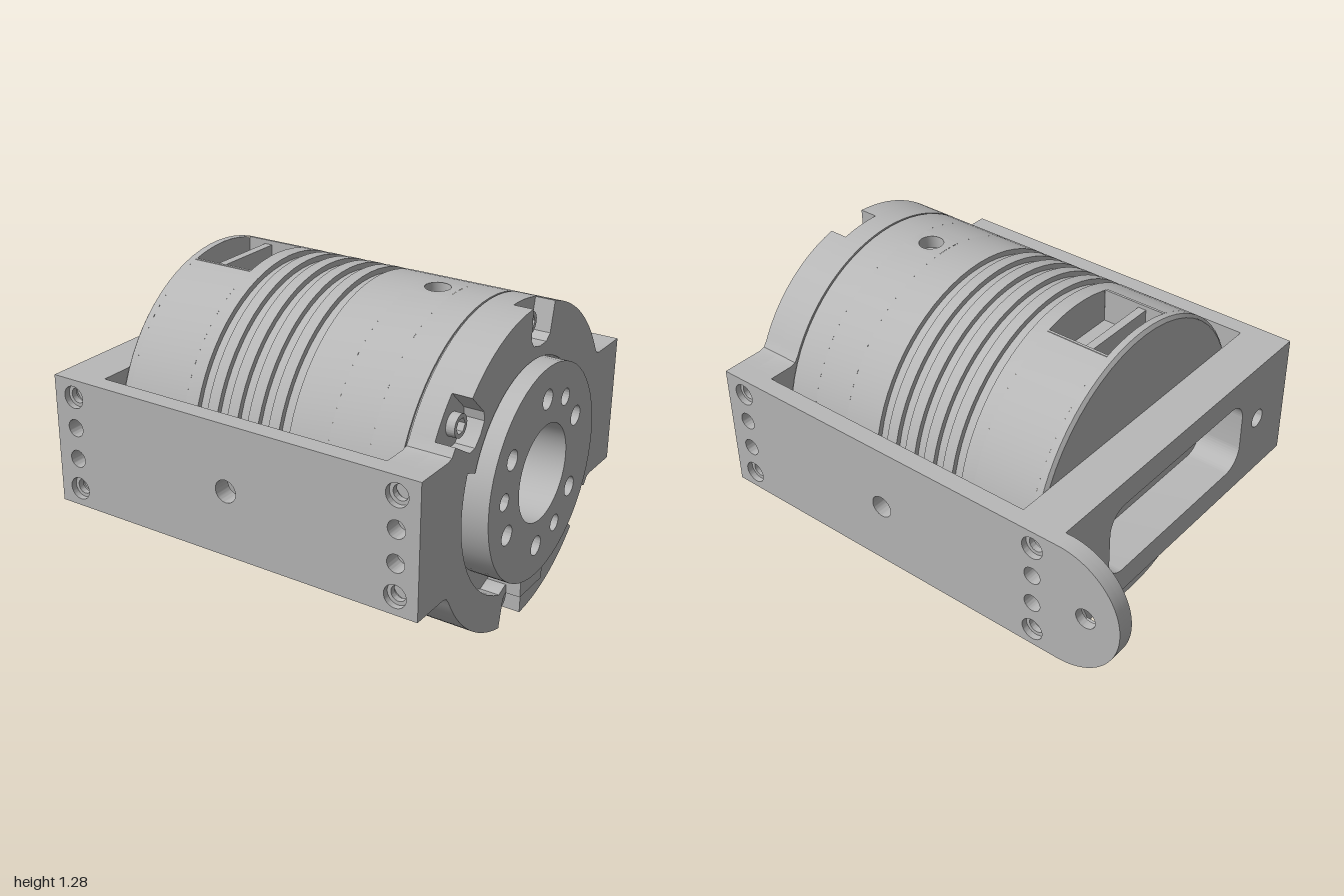
import * as THREE from 'three';
import { toCreasedNormals } from 'three/addons/utils/BufferGeometryUtils.js';

const R = 0.642, CY = 0.643, HALF = 0.27, TOP = -Math.PI / 2, DEG = Math.PI / 180;
const metal = new THREE.MeshStandardMaterial({ color: 0xb8b8b8 });
metal.name = 'brushed grey metal';

const polar = (r, deg) => new THREE.Vector2(r * Math.cos(deg * DEG), r * Math.sin(deg * DEG));
const shapeOf = pts => new THREE.Shape(pts.map(p => (p.isVector2 ? p : new THREE.Vector2(...p))));

function hole(shape, u, v, r) {
  shape.holes.push(new THREE.Path().absarc(u, v, r, 0, Math.PI * 2, true));
  return shape;
}
const disc = r => new THREE.Shape().absarc(0, 0, r, 0, Math.PI * 2, false);

function extrude(shape, depth) {
  const g = new THREE.ExtrudeGeometry(shape, { depth, bevelEnabled: false, curveSegments: 28 });
  return toCreasedNormals(g, 0.6);
}

export function createModel() {
  const model = new THREE.Group();
  model.name = 'motorUnit';
  const core = new THREE.Group(); // everything is measured from the motor axis
  core.name = 'assembly';
  core.position.y = CY;
  model.add(core);

  const add = (name, geo) => {
    const m = new THREE.Mesh(geo, metal);
    m.name = name;
    core.add(m);
    return m;
  };
  // Cross-section (u = -z, v = y) swept along x
  const sweepX = (name, shape, x0, x1) =>
    add(name, extrude(shape, x1 - x0).rotateY(Math.PI / 2).translate(x0, 0, 0));
  // Face outline (x, y) swept along z
  const sweepZ = (name, shape, z0, z1) => add(name, extrude(shape, z1 - z0).translate(0, 0, z0));
  // Profile of [radius, x] turned about the motor axis
  const turn = (name, pts, start = 0, len = Math.PI * 2, seg = 72) => {
    const g = new THREE.LatheGeometry(pts.map(p => new THREE.Vector2(...p)), seg, start, len);
    return add(name, toCreasedNormals(g.rotateZ(-Math.PI / 2), 0.5));
  };
  const box = (name, w, h, d, x, y, z) => add(name, new THREE.BoxGeometry(w, h, d).translate(x, y, z));

  // Motor housing: rear lip, window band, cooling grooves, drilled band, front band
  turn('rearLip', [[0.628, -0.52], [R, -0.508], [R, -0.48]]);
  const winA = Math.asin(0.176 / R);
  turn('windowBand', [[R, -0.48], [R, -0.21]], TOP + winA, Math.PI * 2 - 2 * winA);
  const fins = [[R, -0.21]];
  for (let i = 0; i < 5; i++) {
    const a = -0.15 + i * 0.094, b = a + 0.046;
    fins.push([R, a], [R - 0.022, a], [R - 0.022, b], [R, b]);
  }
  fins.push([R, 0.44]);
  turn('finnedBand', fins);
  const gap = 0.1;
  for (const s of [TOP, -TOP])
    turn('drilledBand', [[R, 0.44], [R, 0.61]], s + gap, Math.PI - 2 * gap, 36);
  turn('frontBand', [[R, 0.61], [R, 0.742], [R - 0.008, 0.742], [R - 0.008, 0.75]]);

  // Rear end cap with its pinhole
  sweepX('rearCap', hole(disc(0.628), -0.115, 0.075, 0.015), -0.52, -0.5);
  sweepX('rearCapBacking', disc(0.6), -0.5, -0.49);

  // Curved patches with a counterbored cross hole, top and bottom
  for (const turnOver of [0, Math.PI]) {
    const w = gap * R, pts = [];
    for (let i = 0; i <= 6; i++) pts.push([0.61, w * (i / 3 - 1)]);
    for (let i = 6; i >= 0; i--) pts.push([0.44, w * (i / 3 - 1)]);
    const g = new THREE.ShapeGeometry(hole(shapeOf(pts), 0.525, 0, 0.05), 24);
    const p = g.attributes.position;
    for (let i = 0; i < p.count; i++) {
      const a = p.getY(i) / R;
      p.setXYZ(i, p.getX(i), R * Math.cos(a), -R * Math.sin(a));
    }
    g.computeVertexNormals();
    add('holePatch', g.rotateX(turnOver));
    const bore = [[0.05, R], [0.05, 0.59], [0.03, 0.59], [0.03, 0]].map(q => new THREE.Vector2(...q));
    const wall = new THREE.LatheGeometry(bore, 24);
    add('crossHole', toCreasedNormals(wall.translate(0.525, 0, 0).rotateX(turnOver), 0.5));
  }

  // Sunken window on top of the housing
  const end = [[0.176, 0.47]];
  for (let i = 0; i <= 10; i++) {
    const a = winA * (1 - i / 5);
    end.push([(R - 0.002) * Math.sin(a), (R - 0.002) * Math.cos(a)]);
  }
  end.push([-0.176, 0.47]);
  sweepX('windowRearWall', shapeOf(end), -0.49, -0.48);
  sweepX('windowFrontWall', shapeOf(end), -0.21, -0.2);
  for (const s of [-1, 1]) box('windowSideWall', 0.27, 0.147, 0.01, -0.345, 0.543, s * 0.181);
  box('windowFloor', 0.27, 0.01, 0.36, -0.345, 0.475, 0);
  box('windowDivider', 0.035, 0.13, 0.352, -0.383, 0.535, 0);

  // Front flange: round body with side wings; the front layer has screw notches
  const screwAngles = [83.8, 143.3];
  function flangeShape(notched) {
    const half = [[0.715, -HALF], [0.715, HALF], [0.61, HALF], [0.585, 0.277]].map(p => new THREE.Vector2(...p));
    for (let d = 28; d <= 152; d += 2) {
      const a = screwAngles.find(s => Math.abs(d - s) < 8);
      if (!notched || a === undefined) { half.push(polar(R, d)); continue; }
      if (d - a > -6) continue;
      for (const [r, o] of [[R, -8], [0.52, -8.5], [0.49, -6], [0.48, 0], [0.49, 6], [0.52, 8.5], [R, 8]])
        half.push(polar(r, a + o));
    }
    half.push(new THREE.Vector2(-0.585, 0.277), new THREE.Vector2(-0.61, HALF));
    return shapeOf([...half, ...half.map(p => p.clone().negate())]);
  }
  sweepX('flangeBase', hole(flangeShape(false), 0, 0, 0.195), 0.75, 0.85);
  const face = flangeShape(true), recess = [];
  for (let d = 20; d <= 160; d += 5) recess.push(polar(0.437, d));
  for (let d = 160; d <= 380; d += 5) {
    const nearScrew = [263.8, 323.3].some(s => Math.abs(d - s) < 10);
    recess.push(polar(nearScrew ? 0.465 : 0.497, d));
  }
  face.holes.push(shapeOf(recess));
  sweepX('flangeFace', face, 0.85, 0.93);

  // Socket screws in the notches
  for (const a of screwAngles) for (const flip of [0, 180]) {
    const c = polar(0.558, a + flip);
    const s = new THREE.Shape().absarc(c.x, c.y, 0.045, 0, Math.PI * 2, false);
    const hex = [0, 1, 2, 3, 4, 5].map(i => polar(0.031, i * 60).add(c));
    s.holes.push(shapeOf(hex));
    sweepX('flangeScrew', s, 0.85, 0.885);
  }

  // Output ring with bolt circle, locating tab and central bore
  const ring = hole(disc(0.43), 0, 0, 0.195);
  for (const [u, v, r] of [[0, 0.3, 0.04], [0.155, 0.255, 0.034], [0.26, 0.14, 0.04],
    [-0.265, 0.16, 0.04], [-0.31, 0.01, 0.034], [-0.275, -0.14, 0.04],
    [-0.02, -0.3, 0.04], [0.135, -0.27, 0.034], [0.25, -0.16, 0.04]]) hole(ring, u, v, r);
  sweepX('outputRing', ring, 0.85, 1);
  box('locatingTab', 0.14, 0.085, 0.18, 0.92, -0.445, 0.02);
  turn('boreWall', [[0.195, 0.85], [0.195, 0.6]]);
  sweepX('boreFloor', hole(disc(0.2), -0.115, 0.075, 0.01), 0.59, 0.6);

  // Side plates of the bracket, drilled
  for (const [name, z0, z1] of [['frontPlate', 0.71, 0.785], ['backPlate', -0.79, -0.715]]) {
    const s = shapeOf([[-0.71, -HALF], [0.93, -HALF], [0.93, HALF], [-0.71, HALF]]);
    hole(s, 0.11, 0, 0.046);
    for (const x of [-0.617, 0.837]) {
      for (const v of [-1, 1]) {
        hole(s, x, v * 0.196, 0.046);
        hole(s, x, v * 0.066, 0.036);
        const seat = hole(new THREE.Shape().absarc(x, v * 0.196, 0.046, 0, Math.PI * 2, false), x, v * 0.196, 0.031);
        sweepZ('boltSeat', seat, z0 + 0.025, z1 - 0.025);
      }
    }
    sweepZ(name, s, z0, z1);
  }

  // Rounded mounting ear on the back plate, hex pocket on the inside
  const ear = () => {
    const s = new THREE.Shape().moveTo(-0.71, HALF).lineTo(-0.73, HALF);
    s.absarc(-0.73, 0, HALF, Math.PI / 2, Math.PI * 1.5, false);
    return s.lineTo(-0.71, -HALF);
  };
  const inner = ear(), c = new THREE.Vector2(-0.853, 0);
  inner.holes.push(shapeOf([0, 1, 2, 3, 4, 5].map(i => polar(0.082, i * 60).add(c))));
  sweepZ('earInner', inner, -0.755, -0.72);
  sweepZ('earOuter', hole(ear(), c.x, 0, 0.042), -0.79, -0.755);

  // Rear crossbar with rounded slot and two small holes
  const bar = shapeOf([[-0.715, -HALF], [0.715, -HALF], [0.715, HALF], [-0.715, HALF]]);
  const slot = new THREE.Path(), w = 0.45, h = 0.16, r = 0.09;
  slot.absarc(w - r, h - r, r, 0, Math.PI / 2).absarc(r - w, h - r, r, Math.PI / 2, Math.PI);
  slot.absarc(r - w, r - h, r, Math.PI, Math.PI * 1.5).absarc(w - r, r - h, r, Math.PI * 1.5, Math.PI * 2);
  bar.holes.push(slot);
  for (const s of [-1, 1]) hole(bar, s * 0.575, 0, 0.04);
  sweepX('rearCrossbar', bar, -0.71, -0.52);

  return model;
}
